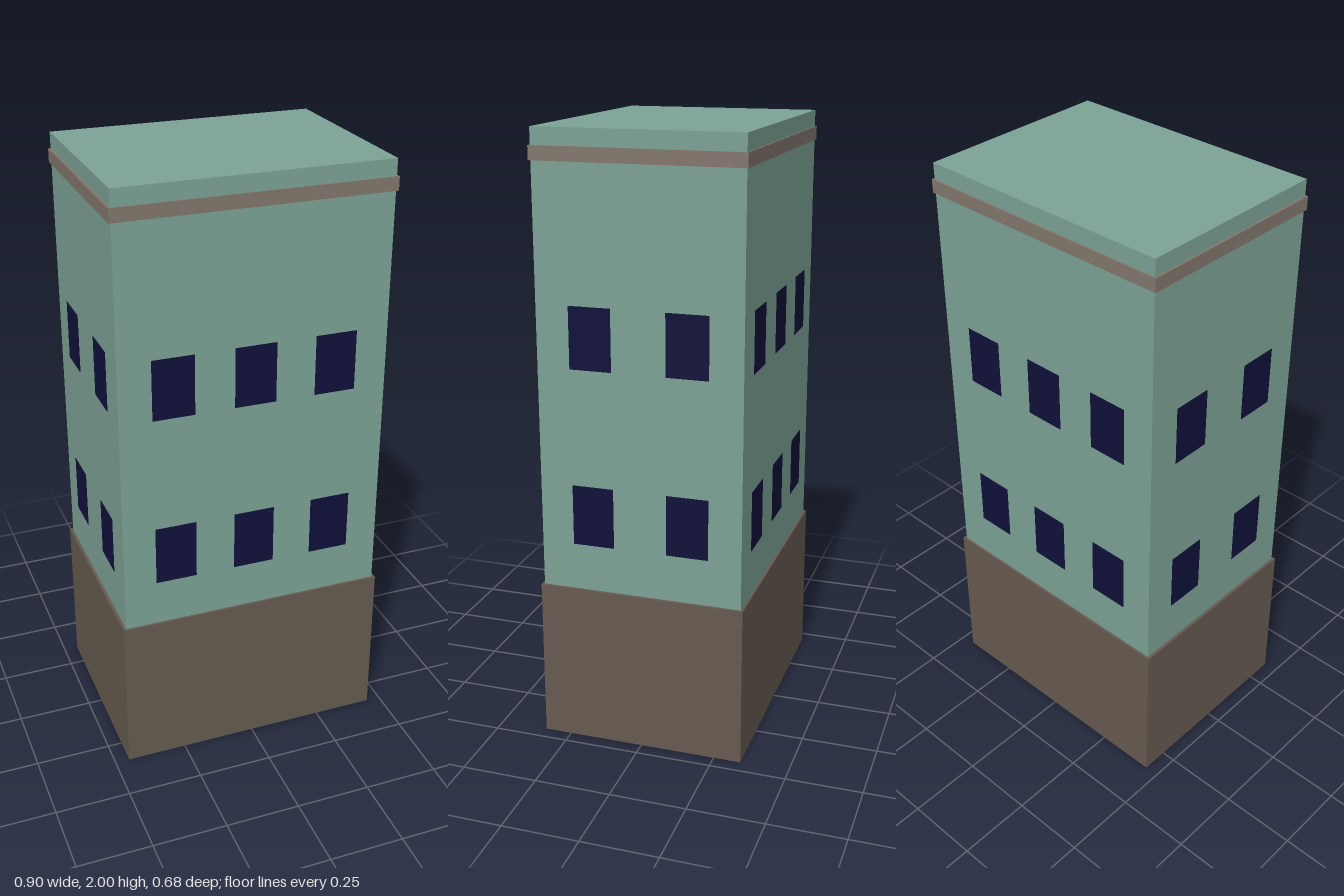
import * as THREE from 'three';

const paint = (color) => new THREE.MeshStandardMaterial({ color });

export function createModel() {
  const building = new THREE.Group();
  building.name = 'building';
  const wall = paint(0x7ca296);
  const stone = paint(0x665a50);
  const trim = paint(0x82776d);
  const glass = paint(0x10103a);

  // Box standing between two heights, centred on the vertical axis
  const block = (name, width, depth, bottom, top, material) => {
    const mesh = new THREE.Mesh(new THREE.BoxGeometry(width, top - bottom, depth), material);
    mesh.position.y = (bottom + top) / 2;
    mesh.name = name;
    building.add(mesh);
  };

  const W = 0.884, D = 0.664;
  block('groundFloor', 0.904, 0.68, 0, 0.535, stone);
  block('upperWalls', W, D, 0.01, 2, wall);
  block('cornice', 0.898, 0.674, 1.902, 1.946, trim);

  // Flush window panes, repeated on all four faces and both storeys
  const pane = new THREE.PlaneGeometry(0.137, 0.2);
  const faces = [
    ['front', 0, D / 2, [-0.267, 0, 0.267]],
    ['left', Math.PI / 2, W / 2, [-0.156, 0.156]],
    ['back', Math.PI, D / 2, [-0.267, 0, 0.267]],
    ['right', -Math.PI / 2, W / 2, [-0.156, 0.156]],
  ];
  for (const [side, angle, distance, columns] of faces) {
    const windows = new THREE.Group();
    windows.name = side + 'Windows';
    windows.rotation.y = angle;
    for (const y of [0.79, 1.37]) {
      for (const x of columns) {
        const mesh = new THREE.Mesh(pane, glass);
        mesh.name = 'window';
        mesh.position.set(x, y, distance + 0.002);
        windows.add(mesh);
      }
    }
    building.add(windows);
  }
  return building;
}
